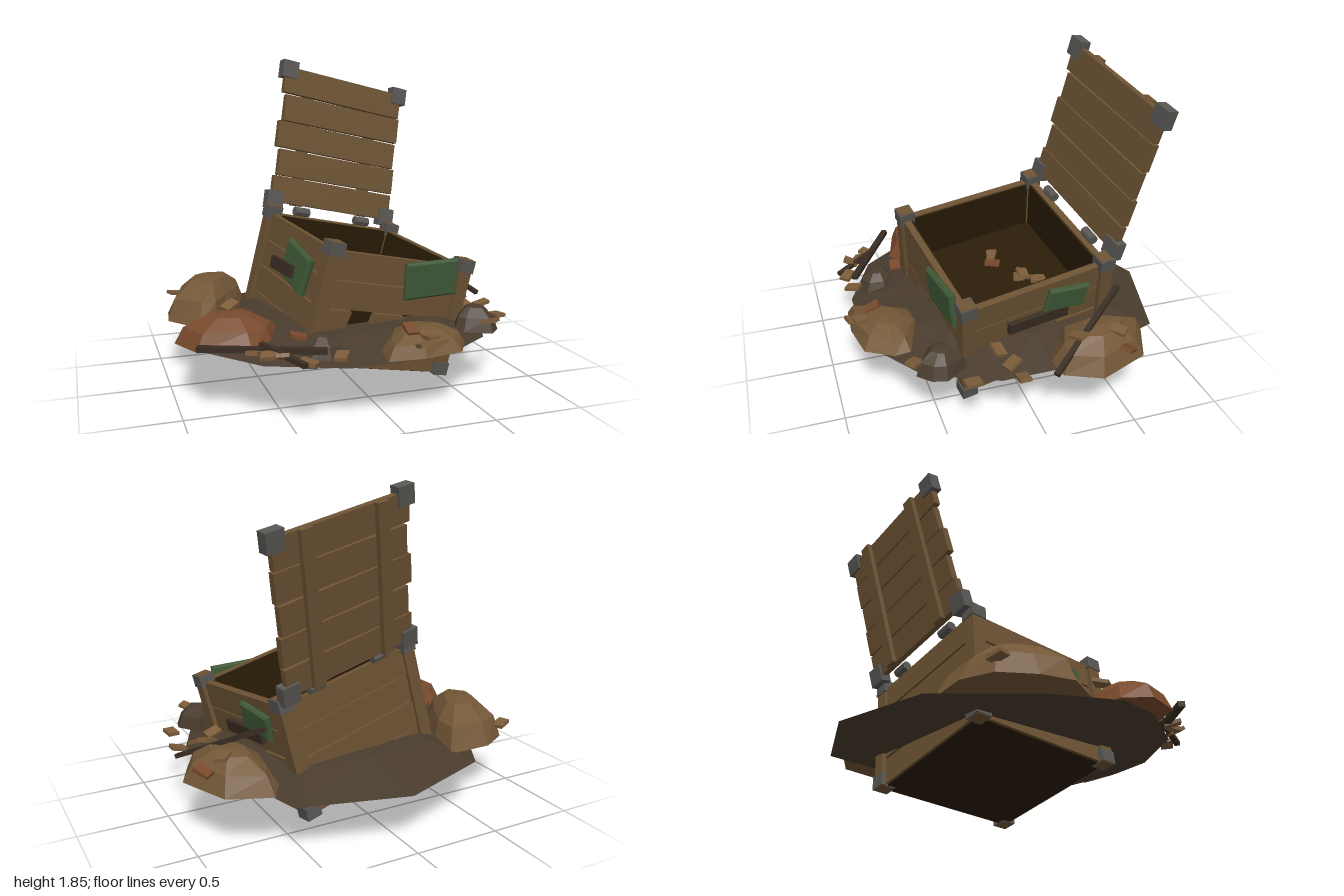
import * as THREE from 'three';

const mat = (name, color) => {
  const m = new THREE.MeshStandardMaterial({ color, flatShading: true });
  m.name = name;
  return m;
};

export function createModel() {
  const wood = mat('wood', 0x6c5233), metal = mat('metal', 0x575653), green = mat('greenPaint', 0x3f5937),
    dark = mat('darkInterior', 0x291c06), charred = mat('charredWood', 0x392d22), soil = mat('soil', 0x493c2e),
    tan = mat('tanDirt', 0x735737), rust = mat('rustDirt', 0x784a2c), chipWood = mat('chipWood', 0x7b5c3a);

  const root = new THREE.Group();
  root.name = 'brokenCrate';

  const add = (parent, name, geo, material, x = 0, y = 0, z = 0, rx = 0, ry = 0, rz = 0) => {
    const m = new THREE.Mesh(geo, material);
    m.name = name;
    m.position.set(x, y, z);
    m.rotation.set(rx, ry, rz);
    parent.add(m);
    return m;
  };
  const box = (w, h, d) => new THREE.BoxGeometry(w, h, d);
  const outlineShape = pts => new THREE.Shape(pts.map(p => new THREE.Vector2(...p)));

  // Tilted crate: local origin at the centre of its base
  const crate = new THREE.Group();
  crate.name = 'crate';
  crate.position.set(0.03, 0.18, -0.046);
  const zAxis = new THREE.Vector3(0.141, -0.094, 0.986).normalize();
  const yAxis = zAxis.clone().cross(new THREE.Vector3(0.966, -0.209, -0.151)).normalize();
  const xAxis = yAxis.clone().cross(zAxis);
  crate.quaternion.setFromRotationMatrix(new THREE.Matrix4().makeBasis(xAxis, yAxis, zAxis));
  root.add(crate);

  // Corner posts with metal collars
  for (const sx of [-1, 1]) for (const sz of [-1, 1]) {
    add(crate, 'cornerPost', box(0.078, 0.7, 0.078), wood, sx * 0.43, 0.31, sz * 0.425);
    for (const y of [0, 0.62]) add(crate, 'cornerCap', box(0.092, 0.075, 0.092), metal, sx * 0.43, y, sz * 0.425);
  }

  // Four walls of four planks; one front plank is broken into three pieces
  for (let side = 0; side < 4; side++) {
    const wall = new THREE.Group();
    wall.name = ['frontWall', 'leftWall', 'backWall', 'rightWall'][side];
    wall.rotation.y = side * Math.PI / 2;
    crate.add(wall);
    for (let i = 0; i < 4; i++) {
      const y = 0.0465 + i * 0.163;
      if (side === 0 && i === 1) {
        for (const [a, b, c, d] of [[-0.4, -0.27, -0.24, -0.4], [-0.12, 0.14, 0.1, -0.09], [0.16, 0.4, 0.4, 0.23]]) {
          const s = outlineShape([[a, -0.077], [b, -0.077], [c, 0.077], [d, 0.077]]);
          add(wall, 'brokenPlank', new THREE.ExtrudeGeometry(s, { depth: 0.04, bevelEnabled: false }), wood, 0, y, 0.403);
        }
      } else add(wall, 'wallPlank', box(0.8, 0.153, 0.04), wood, 0, y, 0.423 + (i % 2) * 0.004);
    }
    add(wall, 'wallLining', box(0.8, 0.6, 0.01), dark, 0, 0.305, 0.4);
  }
  add(crate, 'crateFloor', box(0.8, 0.325, 0.8), dark, 0, 0.1375, 0);
  add(crate, 'crateBase', box(0.86, 0.012, 0.86), dark, 0, -0.03, 0);

  // Bevelled green plates and charred boards nailed to the walls
  const plate = (w, h) => {
    const a = w / 2 - 0.012, b = h / 2 - 0.012;
    return new THREE.ExtrudeGeometry(outlineShape([[-a, -b], [a, -b], [a, b], [-a, b]]),
      { depth: 0.016, bevelThickness: 0.012, bevelSize: 0.012, bevelSegments: 1 });
  };
  const mount = (angle, name, geo, material, x, y, z, tilt) => {
    const g = new THREE.Group();
    g.name = name + 'Mount';
    g.rotation.y = angle;
    crate.add(g);
    add(g, name, geo, material, x, y, z, 0, 0, tilt);
  };
  mount(0, 'frontPlate', plate(0.34, 0.21), green, 0.2, 0.525, 0.455, 0.21);
  mount(Math.PI / 2, 'leftPlate', plate(0.26, 0.15), green, 0.17, 0.485, 0.455, -0.2);
  mount(-Math.PI / 2, 'rightPlate', plate(0.31, 0.22), green, 0.12, 0.42, 0.455, -0.15);
  mount(Math.PI / 2, 'leftBoard', box(0.37, 0.07, 0.03), charred, 0, 0.387, 0.46, -0.02);
  mount(-Math.PI / 2, 'rightBoard', box(0.28, 0.07, 0.025), charred, 0, 0.385, 0.492, 0.05);

  // Hinges
  for (const x of [-0.22, 0.22])
    add(crate, 'hinge', new THREE.CylinderGeometry(0.028, 0.028, 0.1, 8), metal, x, 0.638, -0.455, 0, 0, Math.PI / 2);

  // Open lid
  const lid = new THREE.Group();
  lid.name = 'lid';
  lid.position.set(0, 1.085, -0.594);
  lid.rotation.x = -0.247;
  crate.add(lid);
  [0, 0.012, -0.008, 0.01, -0.004].forEach((dx, i) =>
    add(lid, 'lidPlank', box(0.865 - (i % 2) * 0.015, 0.163, 0.038), wood, dx, (i - 2) * 0.173, 0, 0, 0, (i % 2 ? 1 : -1) * 0.004));
  for (const x of [-0.24, 0.24]) add(lid, 'lidBatten', box(0.075, 0.86, 0.03), wood, x, 0, -0.033);
  for (const x of [-0.41, 0.41]) for (const y of [-0.413, 0.413])
    add(lid, 'lidCap', box(0.108, 0.108, 0.065), metal, x, y, 0);

  // Closed heap: an [x, z] outline shrunk towards a centre in [scale, height] rings, top to underside
  const heap = (name, material, [cx, cz], outline, rings) => {
    const pos = [], n = outline.length, last = rings.length - 2;
    const at = (r, i) => {
      const [s, y] = rings[r], [x, z] = outline[i % n];
      const k = s < 1 ? s * (1 + 0.06 * Math.sin((i % n) * 2.6 + r)) : s;
      return [cx + (x - cx) * k, y, cz + (z - cz) * k];
    };
    for (let r = 0; r <= last; r++) for (let i = 0; i < n; i++) {
      const a = at(r, i), b = at(r, i + 1), c = at(r + 1, i), d = at(r + 1, i + 1);
      if (r < last) pos.push(...a, ...d, ...c);
      if (r > 0) pos.push(...a, ...b, ...(r < last ? d : c));
    }
    const g = new THREE.BufferGeometry();
    g.setAttribute('position', new THREE.Float32BufferAttribute(pos, 3));
    g.computeVertexNormals();
    add(root, name, g, material);
  };
  const mound = (name, material, centre, peak, outline) => {
    const base = 0.325, h = peak - base;
    heap(name, material, centre, outline,
      [[0, peak], [0.42, base + h * 0.92], [0.8, base + h * 0.55], [1, base], [0, base]]);
  };

  // Low ground and the dirt mounds on it
  heap('ground', soil, [0, 0], [[0.82, -0.1], [0.82, 0.2], [0.65, 0.58], [0.4, 0.75], [0.05, 0.83], [-0.22, 0.83],
    [-0.62, 0.66], [-0.87, 0.35], [-0.95, 0.1], [-0.84, -0.25], [-0.55, -0.75], [0, -0.95], [0.58, -0.79]],
  [[0, 0.4], [0.65, 0.38], [1, 0.297], [0, 0.297]]);
  mound('tanMound', tan, [-0.71, -0.35], 0.55, [[-0.98, -0.19], [-0.96, -0.37], [-0.88, -0.56], [-0.72, -0.65],
    [-0.45, -0.65], [-0.48, -0.45], [-0.6, -0.19], [-0.72, -0.05], [-0.83, 0.01]]);
  mound('rustMound', rust, [-0.7, 0.28], 0.485, [[-1, 0.24], [-0.91, 0.11], [-0.72, 0.08], [-0.51, 0.11],
    [-0.43, 0.3], [-0.51, 0.43], [-0.64, 0.51], [-0.91, 0.44]]);
  mound('tanMound', tan, [0.22, 0.7], 0.445, [[-0.04, 0.88], [-0.01, 0.7], [0.11, 0.53], [0.24, 0.5],
    [0.46, 0.61], [0.47, 0.7], [0.38, 0.85], [0.16, 0.89]]);
  mound('tanMound', tan, [0.77, -0.38], 0.505, [[0.56, -0.35], [0.57, -0.55], [0.65, -0.69], [0.88, -0.59],
    [1, -0.3], [0.91, -0.11], [0.78, -0.09], [0.6, -0.2]]);
  mound('darkMound', soil, [-0.31, 0.65], 0.435, [[-0.43, 0.65], [-0.39, 0.56], [-0.28, 0.55], [-0.2, 0.62],
    [-0.21, 0.73], [-0.3, 0.77], [-0.39, 0.73]]);
  mound('darkMound', soil, [0.64, 0.48], 0.46, [[0.51, 0.51], [0.56, 0.4], [0.68, 0.35], [0.77, 0.48],
    [0.75, 0.56], [0.68, 0.63], [0.54, 0.56]]);

  // Charred sticks, each laid between two points
  const stick = (a, b, w) => {
    const from = new THREE.Vector3(...a), to = new THREE.Vector3(...b);
    const m = add(root, 'charredStick', box(w, w * 0.8, from.distanceTo(to)), charred);
    m.position.copy(from).add(to).multiplyScalar(0.5);
    m.lookAt(to);
  };
  stick([0.63, 0.63, -0.53], [0.95, 0.37, -0.05], 0.03);
  stick([-0.92, 0.365, 0.49], [-0.33, 0.385, 0.79], 0.036);
  stick([-0.62, 0.4, 0.62], [-0.46, 0.35, 0.87], 0.03);

  // Scattered splinters: x, y, z
  const chips = [[0.89, 0.35, 0.11], [0.85, 0.35, 0.37], [0.66, 0.38, 0.17], [0.77, 0.36, 0.13], [0.83, 0.5, -0.22],
    [0.94, 0.44, -0.46], [0.83, 0.49, -0.45], [-0.43, 0.35, 0.82], [-0.26, 0.36, 0.81], [-0.6, 0.37, 0.72],
    [-0.55, 0.38, 0.78], [-0.4, 0.39, 0.52], [0.13, 0.445, 0.76], [0.16, 0.4, 0.88], [0.2, 0.42, 0.83],
    [-0.89, 0.4, -0.55], [-0.65, 0.41, -0.06], [-0.69, 0.49, 0.18], [0.66, 0.4, 0.63], [-0.66, 0.37, 0.66],
    [-0.11, 0.515, -0.03], [-0.04, 0.505, -0.02], [0.14, 0.49, -0.13], [0.19, 0.485, -0.23], [0.12, 0.495, -0.16]];
  const rustChips = [5, 11, 12, 16, 21];
  chips.forEach(([x, y, z], i) =>
    add(root, 'woodChip', box(0.09, 0.02, 0.065), rustChips.includes(i) ? rust : chipWood,
      x, y, z, 0.25 * Math.sin(i * 2.3), i * 1.7, 0.25 * Math.cos(i * 3.1)));

  return root;
}
